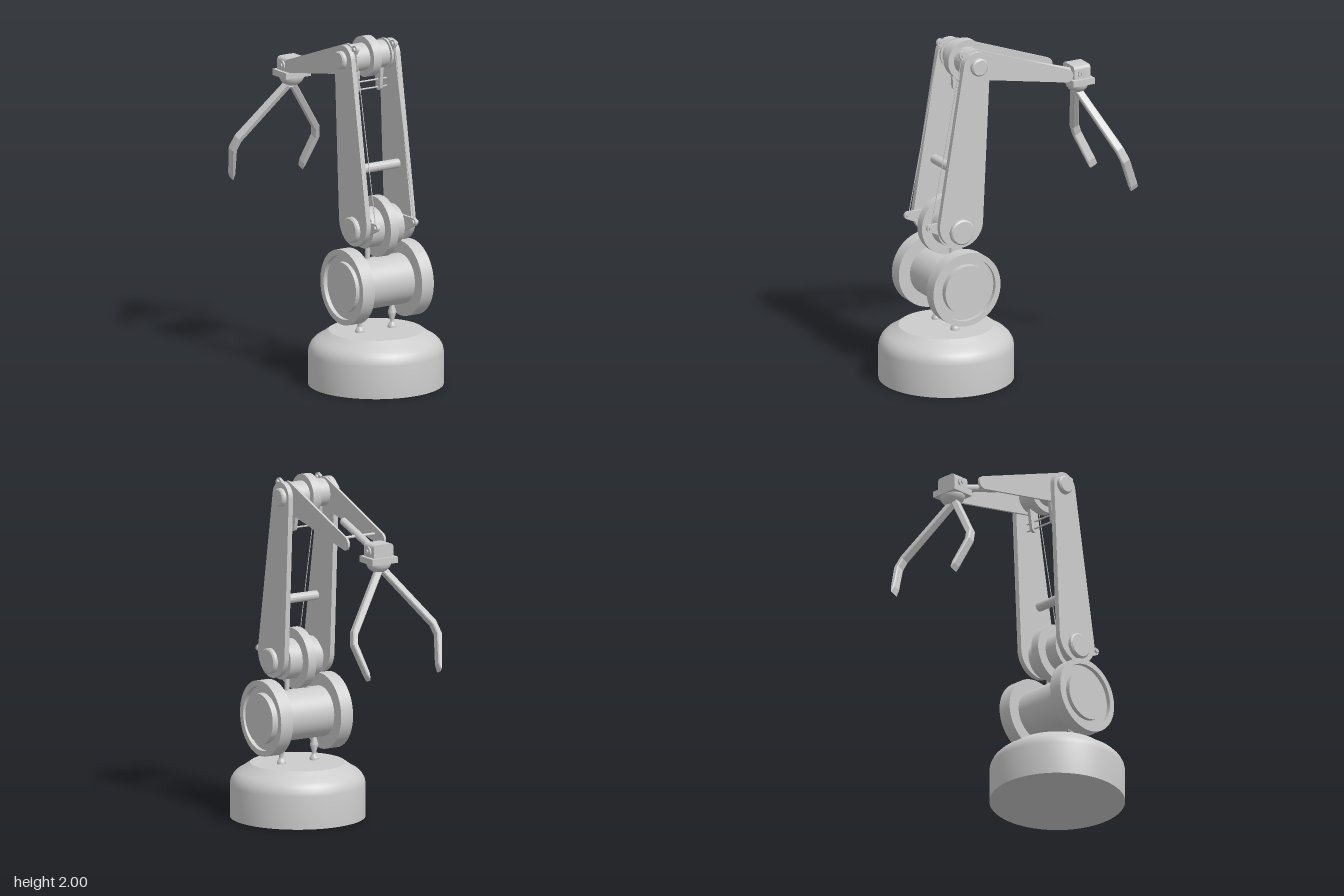
import * as THREE from 'three';
import { toCreasedNormals } from 'three/addons/utils/BufferGeometryUtils.js';

const V = (x, y, z) => new THREE.Vector3(x, y, z);

export function createModel() {
  const root = new THREE.Group();
  root.name = 'roboticArm';
  const mat = new THREE.MeshStandardMaterial({ color: 0xcccccc });
  const MID = 0.01; // centre plane of the arm
  const SHOULDER = { z: 0.368, y: 0.917 };
  const ELBOW = { z: 0.255, y: 1.885 };

  const add = (name, geo, parent = root) => {
    const m = new THREE.Mesh(geo, mat);
    m.name = name;
    parent.add(m);
    return m;
  };
  const crease = (g) => toCreasedNormals(g, 0.6);

  // Solid of revolution about the x axis; profile points are [radius, x]
  const latheX = (name, pts, y, z, seg = 56) => {
    const g = new THREE.LatheGeometry(pts.map(([r, x]) => new THREE.Vector2(r, x)), seg);
    g.rotateZ(-Math.PI / 2);
    g.translate(0, y, z);
    return add(name, crease(g));
  };
  // Plain cylinder from x0 to x1
  const barX = (name, r, x0, x1, y, z, seg = 48) =>
    latheX(name, [[0, x0], [r, x0], [r, x1], [0, x1]], y, z, seg);
  // Rod between two points
  const rod = (name, a, b, r, seg = 20) => {
    const d = b.clone().sub(a);
    const m = add(name, new THREE.CylinderGeometry(r, r, d.length(), seg));
    m.position.copy(a).addScaledVector(d, 0.5);
    m.quaternion.setFromUnitVectors(V(0, 1, 0), d.normalize());
    return m;
  };
  // Tapered plate with rounded ends, lying in the zy plane; ends are {z, y, r}
  const link = (name, a, b, x0, x1) => {
    const dir = Math.atan2(b.y - a.y, a.z - b.z);
    const t = Math.acos((a.r - b.r) / Math.hypot(b.y - a.y, b.z - a.z));
    const s = new THREE.Shape();
    s.absarc(-a.z, a.y, a.r, dir + t, dir - t + Math.PI * 2, false);
    s.absarc(-b.z, b.y, b.r, dir - t, dir + t, false);
    const g = new THREE.ExtrudeGeometry(s, { depth: x1 - x0, bevelEnabled: false, curveSegments: 20 });
    g.rotateY(Math.PI / 2);
    g.translate(x0, 0, 0);
    return add(name, crease(g));
  };

  // Domed base
  const profile = [[0, 0], [0.385, 0], [0.385, 0.19], [0.38, 0.215], [0.367, 0.24],
    [0.345, 0.262], [0.317, 0.278], [0.27, 0.312], [0, 0.312]];
  const base = add('base', crease(
    new THREE.LatheGeometry(profile.map((p) => new THREE.Vector2(...p)), 72)));
  base.position.z = 0.365;

  // Baluster posts between base and drum, short posts above the drum
  const post = [[0, 0.3], [0.026, 0.3], [0.026, 0.325], [0.013, 0.345], [0.013, 0.36],
    [0.025, 0.4], [0.014, 0.435], [0.014, 0.47], [0, 0.47]];
  for (const x of [-0.112, 0.108]) {
    const g = new THREE.LatheGeometry(post.map((p) => new THREE.Vector2(...p)), 20);
    add('supportPost', crease(g)).position.set(x, 0, 0.368);
  }
  for (const x of [-0.06, 0.07]) {
    rod('upperPost', V(x, 0.7, 0.368), V(x, 0.86, 0.368), 0.014);
  }

  // Drum with two recessed flanges
  barX('drum', 0.145, -0.235, 0.258, 0.59, 0.368, 64);
  for (const [inner, outer] of [[-0.155, -0.235], [0.167, 0.247]]) {
    const floor = outer - Math.sign(outer) * 0.025;
    let pts = [[0.14, inner], [0.218, inner], [0.218, outer], [0.185, outer], [0.185, floor], [0.14, floor]];
    if (outer < 0) pts = pts.reverse();
    latheX('drumFlange', pts, 0.59, 0.368, 64);
  }

  // Shoulder and elbow hubs: axle, barrel, centre disc and collars
  const hub = (name, { y, z }, axle, barrel, disc, collar) => {
    const c = 0.008;
    latheX(name + 'Axle', [[0, MID - 0.195], [axle - c, MID - 0.195], [axle, MID - 0.195 + c],
      [axle, MID + 0.195 - c], [axle - c, MID + 0.195], [0, MID + 0.195]], y, z);
    barX(name + 'Barrel', barrel, MID - 0.108, MID + 0.108, y, z);
    barX(name + 'Disc', disc, MID - 0.027, MID + 0.027, y, z, 64);
    barX(name + 'Collar', collar, MID - 0.125, MID + 0.125, y, z);
  };
  hub('shoulder', SHOULDER, 0.074, 0.115, 0.175, 0.085);
  hub('elbow', ELBOW, 0.052, 0.08, 0.117, 0.06);

  for (const side of [-1, 1]) {
    const span = (near, far) => [MID + side * near, MID + side * far].sort((a, b) => a - b);
    // Upper arm plate
    link('upperArmPlate', { z: 0.365, y: 0.96, r: 0.14 }, { z: 0.265, y: 1.885, r: 0.085 }, ...span(0.138, 0.168));
    // Forearm plate and the short lever behind it
    link('forearmPlate', { ...ELBOW, r: 0.088 }, { z: -0.345, y: 1.718, r: 0.038 }, ...span(0.114, 0.128));
    link('elbowLever', { ...ELBOW, r: 0.05 }, { z: 0.338, y: 1.957, r: 0.022 }, ...span(0.122, 0.138));
    link('shoulderLever', { ...SHOULDER, r: 0.06 }, { z: 0.548, y: 0.957, r: 0.022 }, ...span(0.122, 0.138));
    barX('leverPin', 0.012, ...span(0.112, 0.15), 1.957, 0.338, 16);
    barX('leverPin', 0.012, ...span(0.112, 0.15), 0.957, 0.548, 16);
    // Tension cable
    rod('cable', V(MID + side * 0.13, 1.95, 0.34), V(MID + side * 0.13, 0.96, 0.542), 0.0025, 8);
    // Hanging tab under the elbow
    link('elbowTab', { ...ELBOW, r: 0.04 }, { z: 0.265, y: 1.7, r: 0.022 }, ...span(0.07, 0.09));
  }

  // Cross bars
  barX('armCrossBar', 0.027, MID - 0.145, MID + 0.145, 1.263, 0.368, 28);
  barX('forearmCrossBar', 0.008, MID - 0.12, MID + 0.12, 1.737, -0.28, 16);
  for (const y of [1.742, 1.697]) barX('elbowTabBar', 0.005, MID - 0.13, MID + 0.13, y, 0.265, 12);

  // Wrist rod
  rod('wristRod', V(0.006, 1.795, -0.125), V(0.006, 1.685, -0.46), 0.022, 28);

  // Wrist block with rounded top, side bosses, plate and dome
  const wrist = new THREE.Group();
  wrist.name = 'wrist';
  wrist.position.set(-0.004, 0, -0.485);
  root.add(wrist);
  const s = new THREE.Shape();
  s.moveTo(-0.065, 1.64).lineTo(0.065, 1.64).lineTo(0.065, 1.71)
    .quadraticCurveTo(0.065, 1.733, 0.042, 1.733).lineTo(-0.042, 1.733)
    .quadraticCurveTo(-0.065, 1.733, -0.065, 1.71);
  const block = new THREE.ExtrudeGeometry(s, { depth: 0.105, bevelEnabled: false, curveSegments: 8 });
  block.translate(0, 0, -0.0525);
  add('wristBlock', crease(block), wrist);
  add('wristPlate', new THREE.BoxGeometry(0.17, 0.036, 0.14), wrist).position.y = 1.638;
  const dome = add('wristDome', new THREE.SphereGeometry(1, 40, 16, 0, Math.PI * 2, Math.PI / 2, Math.PI / 2), wrist);
  dome.scale.set(0.075, 0.06, 0.064);
  dome.position.y = 1.622;
  barX('wristBoss', 0.027, -0.078, 0.07, 1.69, -0.482, 24);
  barX('wristPin', 0.011, -0.086, 0.078, 1.69, -0.482, 16);

  // Two bent gripper fingers lying in one tilted plane
  const gripper = new THREE.Group();
  gripper.name = 'gripper';
  gripper.position.set(-0.016, 1.585, -0.482);
  gripper.rotation.x = 0.407;
  root.add(gripper);
  const outline = [[0.03, 0], [0.278, 0.34], [0.298, 0.42], [0.252, 0.605], [0.236, 0.635],
    [0.23, 0.59], [0.264, 0.42], [0.25, 0.365], [0.0, 0.025]];
  for (const side of [-1, 1]) {
    const f = new THREE.Shape(outline.map(([x, l]) => new THREE.Vector2(side * x, -l)));
    const g = new THREE.ExtrudeGeometry(f, {
      depth: 0.034, bevelEnabled: true, bevelThickness: 0.006, bevelSize: 0.005, bevelOffset: -0.005, bevelSegments: 1,
    });
    g.translate(0, 0, -0.017);
    // Widen slightly towards the tip
    const p = g.attributes.position;
    for (let i = 0; i < p.count; i++) p.setZ(i, p.getZ(i) * (0.9 - 0.4 * p.getY(i)));
    g.computeVertexNormals();
    add(side < 0 ? 'rightFinger' : 'leftFinger', g, gripper);
  }

  return root;
}
